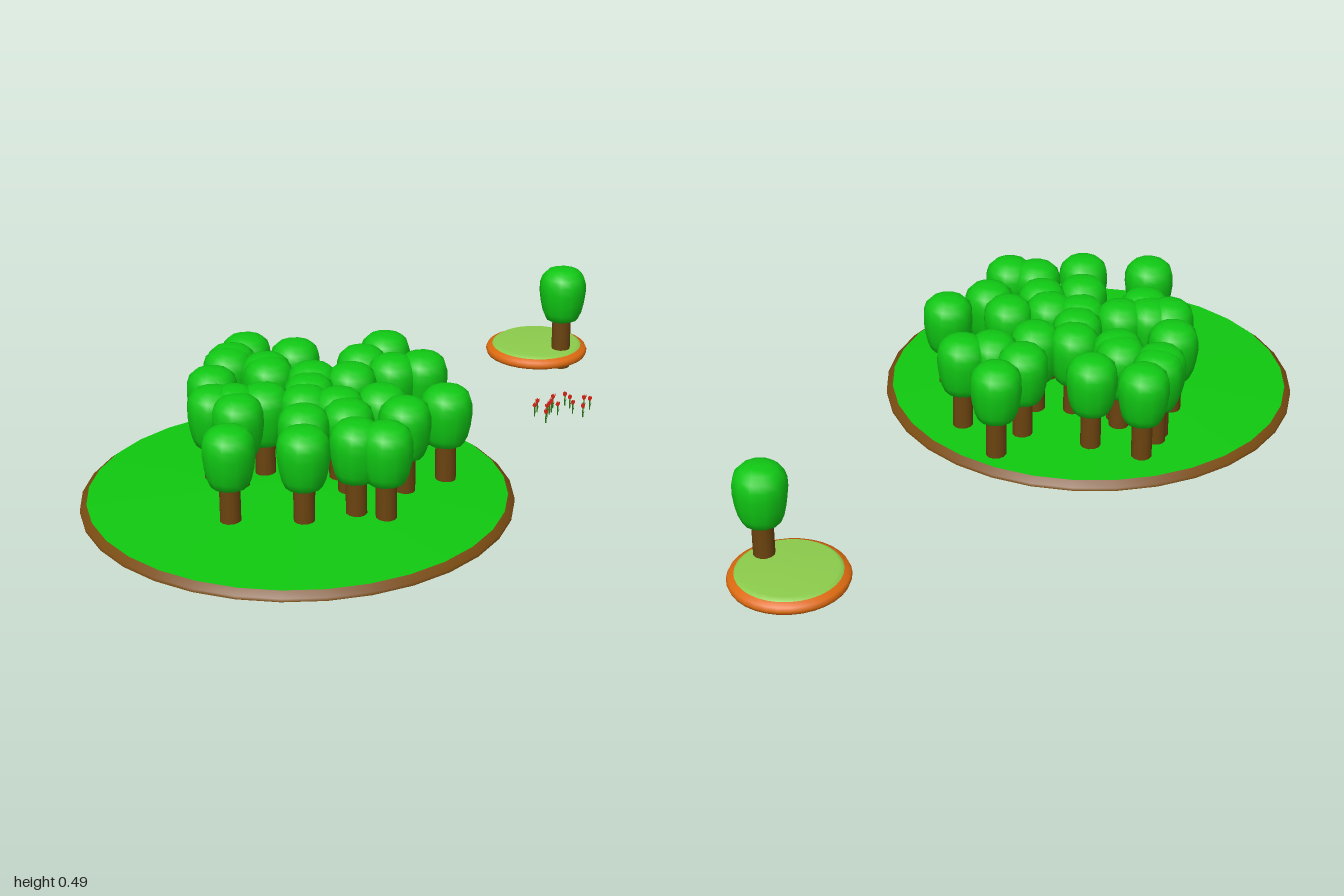
import * as THREE from 'three';

const mat = (color, side = THREE.FrontSide) => new THREE.MeshStandardMaterial({ color, side });
const DS = THREE.DoubleSide;
const bark = mat(0x6b430f), leaf = mat(0x10c814);
const grass = mat(0x10c810, DS), soil = mat(0x7a4c12, DS);
const paleGrass = mat(0x8ccc4c, DS), clay = mat(0xdc6a10, DS);
const petal = mat(0xe02818, DS), stem = mat(0x2c7a1c, DS);

const lathe = (pts, sides) =>
  new THREE.LatheGeometry(pts.map(([r, y]) => new THREE.Vector2(r, y)), sides);

function add(parent, name, geometry, material) {
  const mesh = new THREE.Mesh(geometry, material);
  mesh.name = name;
  parent.add(mesh);
  return mesh;
}

// Trunk and rounded barrel crown, shared by all trees
const trunkGeo = new THREE.CylinderGeometry(0.032, 0.032, 0.19, 12).translate(0, 0.22, 0);
const crownGeo = lathe([
  [0, 0.295], [0.035, 0.296], [0.056, 0.305], [0.067, 0.33], [0.075, 0.365], [0.08, 0.405],
  [0.079, 0.435], [0.071, 0.46], [0.054, 0.477], [0.03, 0.485], [0, 0.487],
], 12);

function makeTree(x, z) {
  const tree = new THREE.Group();
  tree.name = 'tree';
  add(tree, 'trunk', trunkGeo, bark);
  add(tree, 'crown', crownGeo, leaf);
  tree.position.set(x, 0, z);
  return tree;
}

// Open-bottomed island: sloping rim and a raised grass cap
function makeIsland(name, x, z, rim, cap, rimMat, capMat) {
  const island = new THREE.Group();
  island.name = name;
  add(island, 'rim', lathe(rim, 32), rimMat);
  add(island, 'grassCap', lathe(cap, 32), capMat);
  island.position.set(x, 0, z);
  return island;
}

// Flower parts made of flat upright cards
const tulip = new THREE.Shape([
  [-0.003, 0.034], [0.003, 0.034], [0.008, 0.041], [0.008, 0.053],
  [0.004, 0.047], [0, 0.054], [-0.004, 0.047], [-0.008, 0.053], [-0.008, 0.041],
].map(([x, y]) => new THREE.Vector2(x, y)));
const headGeo = new THREE.ShapeGeometry(tulip);
const stemGeo = new THREE.PlaneGeometry(0.005, 0.036).translate(0, 0.018, 0);
const blade = new THREE.Shape([
  new THREE.Vector2(0, 0.006), new THREE.Vector2(0.007, 0.024), new THREE.Vector2(0, 0.014),
]);
const bladeGeo = new THREE.ShapeGeometry(blade);

function makeFlower(x, z) {
  const flower = new THREE.Group();
  flower.name = 'flower';
  for (const turn of [0, Math.PI / 2]) {
    add(flower, 'petals', headGeo, petal).rotation.y = turn;
    add(flower, 'stem', stemGeo, stem).rotation.y = turn;
    add(flower, 'leafBlade', bladeGeo, stem).rotation.y = turn;
  }
  flower.position.set(x, 0, z);
  return flower;
}

export function createModel() {
  const model = new THREE.Group();
  model.name = 'forestIslands';

  model.add(makeIsland('largeIsland', -0.343, 0.167,
    [[0.655, 0.148], [0.655, 0.158], [0.635, 0.174]],
    [[0.635, 0.174], [0, 0.207]], soil, grass));

  model.add(makeIsland('smallIsland', 0.815, -0.655,
    [[0.162, 0.15], [0.173, 0.154], [0.177, 0.165], [0.172, 0.176], [0.155, 0.184]],
    [[0.155, 0.184], [0.142, 0.193], [0, 0.195]], clay, paleGrass));

  // Grove on the large island
  const grove = new THREE.Group();
  grove.name = 'grove';
  const spots = [
    [-0.34, -0.35], [-0.43, -0.25], [-0.41, -0.28], [-0.21, -0.25], [-0.52, -0.12],
    [-0.33, -0.17], [-0.335, -0.13], [-0.22, -0.05], [0.08, -0.21], [-0.03, -0.125],
    [0.13, -0.015], [0.035, -0.025], [-0.11, 0], [-0.56, 0.025], [-0.5, 0.04],
    [-0.41, 0.06], [-0.51, 0.115], [-0.26, 0.04], [-0.3, 0.12], [-0.08, 0.19],
    [-0.35, 0.255], [-0.215, 0.265], [-0.21, 0.17], [-0.05, 0.305], [0.1, 0.26],
    [-0.6, 0.32], [-0.4, 0.4], [-0.24, 0.405], [-0.165, 0.455],
  ];
  for (const [x, z] of spots) grove.add(makeTree(x, z));
  model.add(grove);

  // Lone tree on the small island
  const lone = makeTree(0.867, -0.565);
  lone.name = 'loneTree';
  model.add(lone);

  // Flower patch below the small island
  const patch = new THREE.Group();
  patch.name = 'flowerPatch';
  const blooms = [
    [0.722, -0.45], [0.735, -0.385], [0.76, -0.43], [0.775, -0.445], [0.79, -0.46],
    [0.8, -0.43], [0.812, -0.495], [0.855, -0.425], [0.865, -0.47], [0.875, -0.385],
    [0.91, -0.45], [0.925, -0.435], [0.745, -0.48], [0.86, -0.5],
  ];
  for (const [x, z] of blooms) patch.add(makeFlower(x, z));
  model.add(patch);

  return model;
}
